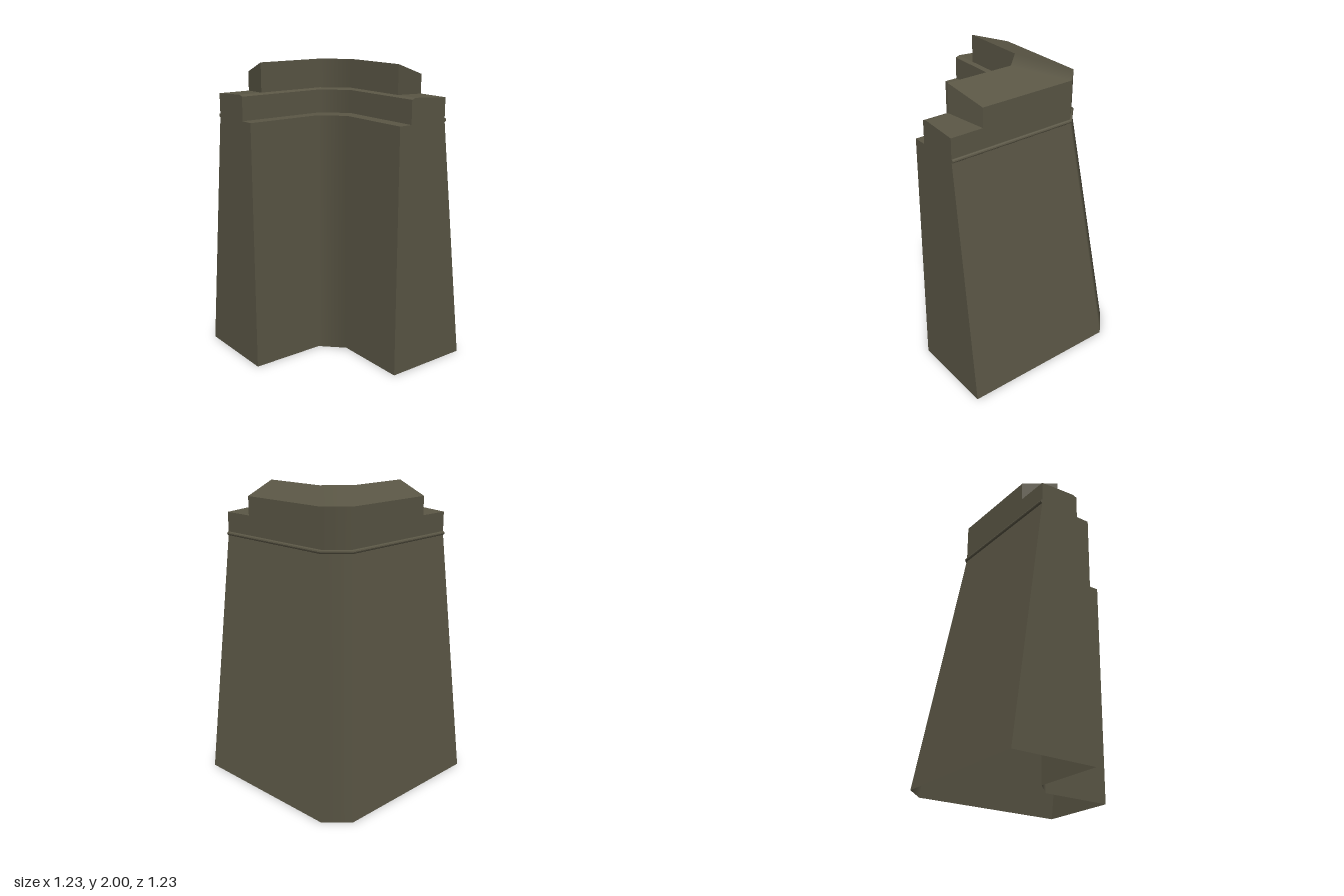
import * as THREE from 'three';

const END = 0.617;
const stone = new THREE.MeshStandardMaterial({ color: 0x5a5645, side: THREE.DoubleSide });
stone.name = 'stone';

// Sweeps a profile round the chamfered L. Each profile point is
// { d: distance of both arms, c: start of the chamfer, y, end: arm length }.
function sweepCorner(name, profile, closed = false) {
  const rings = profile.map(({ d, c, y, end = END }) => [
    new THREE.Vector3(d, y, end), new THREE.Vector3(d, y, c),
    new THREE.Vector3(c, y, d), new THREE.Vector3(end, y, d),
  ]);
  const pos = [], nor = [];
  const faceNormal = (a, b, c) =>
    b.clone().sub(a).cross(c.clone().sub(a)).normalize();
  const tri = (points, normals) => points.forEach((p, i) => {
    pos.push(p.x, p.y, p.z);
    nor.push(normals[i].x, normals[i].y, normals[i].z);
  });
  const count = closed ? rings.length : rings.length - 1;
  for (let i = 0; i < count; i++) {
    const p = rings[i], q = rings[(i + 1) % rings.length];
    // Arms stay flat, the chamfer blends between them
    const nA = faceNormal(p[0], q[0], q[1]);
    const nB = faceNormal(p[2], q[2], q[3]);
    const n = [nA, nA, nB, nB];
    for (let j = 0; j < 3; j++) {
      tri([p[j], q[j], q[j + 1]], [n[j], n[j], n[j + 1]]);
      tri([p[j], q[j + 1], p[j + 1]], [n[j], n[j + 1], n[j + 1]]);
    }
  }
  // Flat ends of both arms
  for (let i = 1; i < rings.length - 1; i++) {
    const start = [rings[0][0], rings[i + 1][0], rings[i][0]];
    const finish = [rings[0][3], rings[i][3], rings[i + 1][3]];
    for (const t of [start, finish]) {
      const n = faceNormal(...t);
      tri(t, [n, n, n]);
    }
  }
  const geo = new THREE.BufferGeometry();
  geo.setAttribute('position', new THREE.Float32BufferAttribute(pos, 3));
  geo.setAttribute('normal', new THREE.Float32BufferAttribute(nor, 3));
  const mesh = new THREE.Mesh(geo, stone);
  mesh.name = name;
  return mesh;
}

export function createModel() {
  const group = new THREE.Group();
  group.name = 'cornerWall';

  // Battered wall with a flat walkway, open underneath
  group.add(sweepCorner('wall', [
    { d: -0.617, c: -0.477, y: 0 },
    { d: -0.403, c: -0.27, y: 1.65 },
    { d: -0.03, c: 0.11, y: 1.65 },
    { d: -0.03, c: 0.11, y: 0 },
  ]));

  // Low parapet with a sloping sill
  group.add(sweepCorner('parapet', [
    { d: -0.403, c: -0.27, y: 1.65 },
    { d: -0.403, c: -0.27, y: 1.795 },
    { d: -0.15, c: 0, y: 1.812 },
    { d: -0.122, c: 0.025, y: 1.802 },
    { d: -0.122, c: 0.025, y: 1.65 },
  ]));

  // Raised merlon with splayed ends
  group.add(sweepCorner('merlon', [
    { d: -0.403, c: -0.27, y: 1.79, end: 0.397 },
    { d: -0.403, c: -0.27, y: 1.92, end: 0.397 },
    { d: -0.15, c: 0, y: 2, end: 0.458 },
    { d: -0.15, c: 0, y: 1.805, end: 0.458 },
  ]));

  // Rounded string course along the outer edge
  const bead = [];
  for (let i = 0; i < 10; i++) {
    const a = Math.PI - (i / 10) * Math.PI * 2;
    const shift = 0.013 * Math.cos(a);
    bead.push({
      d: -0.403 + shift,
      c: -0.27 + shift * (Math.SQRT2 - 1),
      y: 1.652 + 0.013 * Math.sin(a),
    });
  }
  group.add(sweepCorner('stringCourse', bead, true));

  return group;
}
